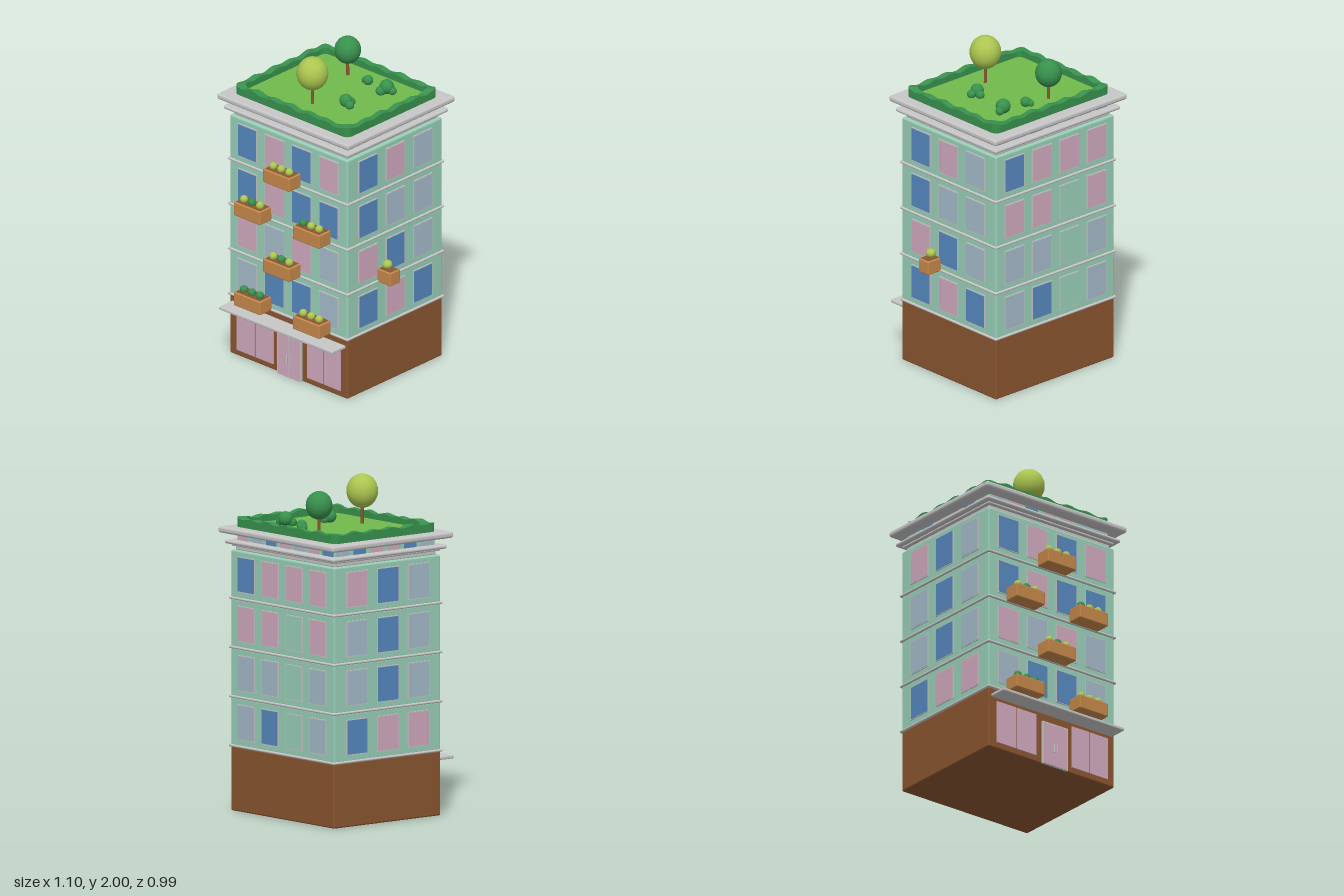
import * as THREE from 'three';
import { RoundedBoxGeometry } from 'three/addons/geometries/RoundedBoxGeometry.js';

const paint = (name, color) => {
  const m = new THREE.MeshStandardMaterial({ color });
  m.name = name;
  return m;
};

export function createModel() {
  const wall = paint('mint wall', 0x98cfb7);
  const brown = paint('brown', 0x8a5530);
  const wood = paint('planter wood', 0xc4874a);
  const stone = paint('pale stone', 0xc6c6c6);
  const hedgeGreen = paint('dark green', 0x38914d);
  const grass = paint('grass green', 0x70b94a);
  const lime = paint('lime leaves', 0xacc650);
  const pink = paint('pink glass', 0xcfa9bd);
  const blue = paint('blue glass', 0x5688bf);
  const pale = paint('pale glass', 0xa4bac9);
  const glass = { P: pink, B: blue, G: pale, T: wall };

  const model = new THREE.Group();
  model.name = 'building';
  const CX = -0.027, CZ = -0.03, W = 0.945, D = 0.82;

  function add(parent, name, geo, mat, x, y, z) {
    const m = new THREE.Mesh(geo, mat);
    m.name = name;
    m.position.set(x, y, z);
    parent.add(m);
    return m;
  }
  const box = (p, name, mat, w, h, d, x, y, z) => add(p, name, new THREE.BoxGeometry(w, h, d), mat, x, y, z);
  const rbox = (p, name, mat, w, h, d, x, y, z, r) =>
    add(p, name, new RoundedBoxGeometry(w, h, d, 2, r), mat, x, y, z);
  // slab centred on the tower, wider than the walls by 2 * grow
  const slab = (name, mat, grow, y0, y1, r = 0.008) =>
    rbox(model, name, mat, W + 2 * grow, y1 - y0, D + 2 * grow, CX, (y0 + y1) / 2, CZ, Math.min(r, (y1 - y0) / 2.01));
  const ball = (p, name, mat, r, x, y, z, sy = 1) => {
    const m = add(p, name, new THREE.SphereGeometry(r, 24, 16), mat, x, y, z);
    m.scale.y = sy;
    return m;
  };

  // storeys and the ledges between them
  slab('groundFloor', brown, 0, 0, 0.385, 0.01);
  const STEP = 0.293;
  for (let i = 0; i < 4; i++) {
    const y = 0.387 + i * STEP;
    slab('storey', wall, 0, y, y + (i === 3 ? 0.287 : STEP), 0.012);
    slab('ledge', stone, 0.01, y - 0.007, y + 0.009);
  }

  // cornice and parapet
  slab('corniceStep', stone, -0.02, 1.55, 1.58);
  slab('corniceStep', stone, 0.0, 1.575, 1.592);
  slab('lowerCornice', stone, 0.028, 1.588, 1.612, 0.012);
  slab('parapet', wall, -0.025, 1.6, 1.665);
  slab('upperCornice', stone, 0.055, 1.652, 1.69, 0.015);

  // windows: rows from the top floor down, left to right seen from outside
  const faces = [
    { name: 'front', turn: 0, half: D / 2, step: 0.2185, w: 0.145, rows: ['BPBP', 'BPBB', 'PGPG', 'GBBG'], frieze: 'GPBPPGG' },
    { name: 'right', turn: Math.PI / 2, half: W / 2, step: 0.237, w: 0.153, rows: ['BPG', 'BGG', 'PBG', 'BPB'], frieze: 'PPBBPG' },
    { name: 'back', turn: Math.PI, half: D / 2, step: 0.2185, w: 0.145, rows: ['BPPP', 'PPTP', 'GGTG', 'GBTG'], frieze: 'PGBPGPB' },
    { name: 'left', turn: -Math.PI / 2, half: W / 2, step: 0.237, w: 0.153, rows: ['PBG', 'GBG', 'GBG', 'BPP'], frieze: 'GBPPBG' },
  ];
  for (const f of faces) {
    const side = new THREE.Group();
    side.name = f.name + 'Windows';
    side.position.set(CX, 0, CZ);
    side.rotation.y = f.turn;
    model.add(side);
    f.rows.forEach((row, r) => [...row].forEach((c, i) => {
      const x = (i - (row.length - 1) / 2) * f.step, y = 1.413 - r * STEP;
      box(side, 'windowFrame', stone, f.w + 0.01, 0.212, 0.012, x, y, f.half);
      box(side, 'windowPane', glass[c], f.w, 0.202, 0.008, x, y, f.half + 0.004);
    }));
    [...f.frieze].forEach((c, i) => {
      const x = (i - (f.frieze.length - 1) / 2) * 0.13;
      box(side, 'friezePane', glass[c], 0.092, 0.036, 0.008, x, 1.63, f.half - 0.024);
    });
  }

  // shop front, door and canopy
  const FZ = CZ + D / 2;
  for (const [x0, x1] of [[-0.44, -0.297], [-0.288, -0.145], [0.125, 0.253], [0.263, 0.393]]) {
    box(model, 'shopWindow', pink, x1 - x0, 0.265, 0.008, (x0 + x1) / 2, 0.172, FZ + 0.002);
  }
  box(model, 'doorFrame', stone, 0.188, 0.272, 0.016, -0.01, 0.136, FZ + 0.008);
  for (const s of [-1, 1]) {
    box(model, 'doorLeaf', pink, 0.084, 0.26, 0.008, -0.01 + s * 0.0435, 0.132, FZ + 0.014);
    add(model, 'doorHandle', new THREE.CylinderGeometry(0.004, 0.004, 0.055, 8), stone, -0.01 + s * 0.013, 0.115, FZ + 0.021);
  }
  rbox(model, 'canopy', stone, 0.91, 0.02, 0.12, -0.025, 0.335, 0.435, 0.006);

  // balcony planters: x, floor level, plant colours
  const planters = [
    [-0.03, 1.265, 'LLL'], [-0.265, 0.972, 'LDL'], [0.21, 0.972, 'DLL'],
    [-0.03, 0.678, 'LDL'], [-0.265, 0.385, 'DDD'], [0.21, 0.385, 'LLL'],
  ];
  for (const [x, y, plants] of planters) {
    const g = new THREE.Group();
    g.name = 'planter';
    g.position.set(x, y, 0.434);
    model.add(g);
    rbox(g, 'planterBox', wood, 0.213, 0.088, 0.104, 0, 0.044, 0, 0.008);
    box(g, 'soil', brown, 0.19, 0.004, 0.082, 0, 0.088, 0);
    [...plants].forEach((c, i) =>
      ball(g, 'plant', c === 'L' ? lime : hedgeGreen, 0.024, (i - 1) * 0.064, 0.103, 0.006));
  }
  rbox(model, 'sidePlanterBox', wood, 0.108, 0.086, 0.086, 0.496, 0.719, 0.078, 0.008);
  box(model, 'sideSoil', brown, 0.086, 0.004, 0.066, 0.496, 0.762, 0.078);
  ball(model, 'sidePlant', lime, 0.03, 0.488, 0.79, 0.08, 0.9);

  // roof lawn
  box(model, 'lawn', grass, 0.87, 0.02, 0.74, CX, 1.693, CZ);

  // hedge: a square section swept round a rounded rectangle, with a wavy top
  const hx = 0.457, hz = 0.393, r = 0.04, rect = new THREE.Shape();
  rect.absarc(hx - r, hz - r, r, 0, Math.PI / 2);
  rect.absarc(r - hx, hz - r, r, Math.PI / 2, Math.PI);
  rect.absarc(r - hx, r - hz, r, Math.PI, Math.PI * 1.5);
  rect.absarc(hx - r, r - hz, r, Math.PI * 1.5, Math.PI * 2);
  rect.closePath();
  const N = 200, pts = rect.getSpacedPoints(N).slice(0, N), pos = [], idx = [];
  pts.forEach((p, i) => {
    const a = (i / N) * Math.PI * 2;
    const top = 1.741 + 0.006 * Math.sin(a * 22) + 0.003 * Math.sin(a * 13 + 1);
    const kx = (hx - 0.041) / hx, kz = (hz - 0.041) / hz;
    pos.push(p.x, 1.688, p.y, p.x, top, p.y, p.x * kx, top, p.y * kz, p.x * kx, 1.688, p.y * kz);
    const n = (i + 1) % N;
    for (let j = 0; j < 3; j++) {
      const b = i * 4 + j, c = n * 4 + j;
      idx.push(b, b + 1, c, b + 1, c + 1, c);
    }
  });
  let hedge = new THREE.BufferGeometry();
  hedge.setAttribute('position', new THREE.Float32BufferAttribute(pos, 3));
  hedge.setIndex(idx);
  hedge = hedge.toNonIndexed();
  hedge.computeVertexNormals();
  add(model, 'hedge', hedge, hedgeGreen, CX, 0, CZ);

  // trees: x, z, crown radius, crown centre, crown stretch
  for (const [x, z, cr, y, sy, mat] of [
    [-0.143, -0.256, 0.079, 1.866, 1.07, hedgeGreen],
    [-0.03, 0.17, 0.094, 1.898, 1.085, lime],
  ]) {
    add(model, 'trunk', new THREE.CylinderGeometry(0.008, 0.01, y - 1.7, 12), brown, x, (y + 1.7) / 2, z);
    ball(model, 'crown', mat, cr, x, y, z, sy);
  }

  // bushes: x, y, z, radius
  for (const [x, y, z, br] of [
    [0.03, 1.728, -0.245, 0.031], [0.0, 1.718, -0.25, 0.019], [0.012, 1.72, -0.27, 0.02],
    [0.195, 1.744, -0.23, 0.044], [0.177, 1.722, -0.197, 0.03], [0.232, 1.725, -0.24, 0.025],
    [0.136, 1.737, 0.06, 0.039], [0.175, 1.72, 0.068, 0.026], [0.145, 1.72, 0.025, 0.026],
  ]) ball(model, 'bush', hedgeGreen, br, x, y, z);

  return model;
}
